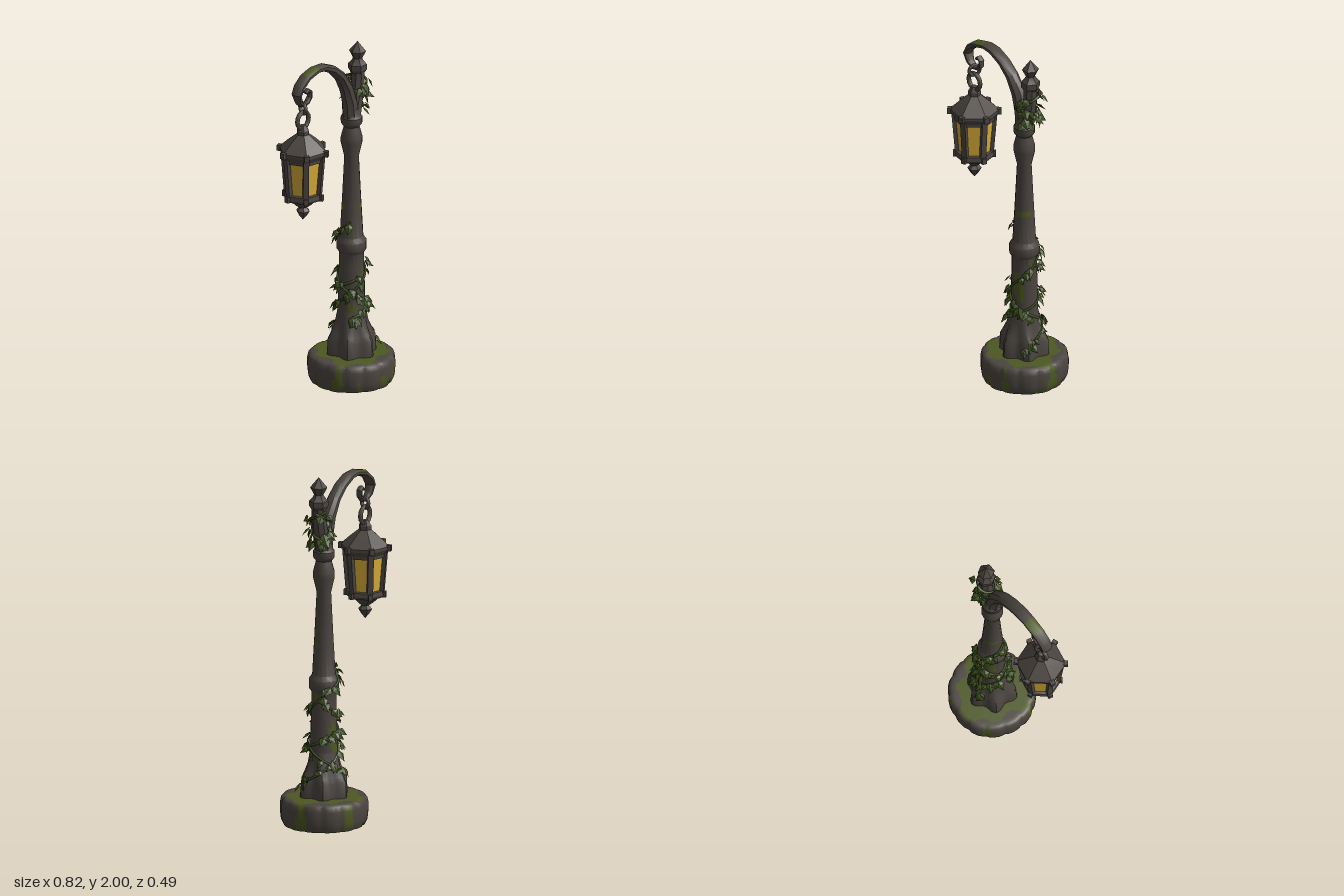
import * as THREE from 'three';
import { mergeGeometries, toCreasedNormals } from 'three/addons/utils/BufferGeometryUtils.js';

const V2 = (p) => p.map(([r, y]) => new THREE.Vector2(r, y));
const mat = (name, color, side = THREE.FrontSide) => {
  const m = new THREE.MeshStandardMaterial({ color, side });
  m.name = name;
  return m;
};

export function createModel() {
  const iron = mat('weathered iron', 0x4b4540);
  const moss = mat('moss', 0x4c5822);
  const leafMat = mat('ivy leaf', 0x3f5120, THREE.DoubleSide);
  const glass = mat('amber glass', 0xd6ac38);

  const model = new THREE.Group();
  model.name = 'streetLamp';
  const POST_X = 0.165, LAMP_X = -0.263, HEX = Math.PI / 10;
  let seed = 7;
  const rnd = () => (seed = (seed * 16807) % 2147483647) / 2147483647;

  const add = (name, geo, material, x = 0, y = 0, z = 0, parent = model) => {
    const m = new THREE.Mesh(geo, material);
    m.name = name;
    m.position.set(x, y, z);
    parent.add(m);
    return m;
  };
  const lathe = (pts, sides, start = 0) => new THREE.LatheGeometry(V2(pts), sides, start);
  const crease = (g, a = 0.65) => toCreasedNormals(g, a);

  // Sort triangles into an iron group and a moss group by a rule on their centre
  const paint = (g, isMoss) => {
    const P = g.attributes.position, N = g.attributes.normal, sets = [[], []];
    for (let i = 0; i < P.count; i += 3) {
      const mid = (k) => (P['get' + k](i) + P['get' + k](i + 1) + P['get' + k](i + 2)) / 3;
      sets[isMoss(mid('X'), mid('Y'), mid('Z'), N.getY(i)) ? 1 : 0].push(i, i + 1, i + 2);
    }
    g.setIndex([...sets[0], ...sets[1]]);
    g.clearGroups();
    g.addGroup(0, sets[0].length, 0);
    g.addGroup(sets[0].length, sets[1].length, 1);
    return g;
  };

  // Sweep along a path in the xy plane; each row is [x, y, half thickness, half depth]
  const sweep = (rows, sides) => {
    const pos = [], idx = [];
    rows.forEach(([x, y, r, rz], i) => {
      const a = rows[Math.max(i - 1, 0)], b = rows[Math.min(i + 1, rows.length - 1)];
      const t = new THREE.Vector2(b[0] - a[0], b[1] - a[1]).normalize();
      for (let j = 0; j < sides; j++) {
        const q = ((j + 0.5) / sides) * Math.PI * 2, c = Math.cos(q) * r;
        pos.push(x - t.y * c, y + t.x * c, Math.sin(q) * rz);
        if (i < rows.length - 1) {
          const k = i * sides, n = (j + 1) % sides;
          idx.push(k + j, k + n, k + sides + j, k + n, k + sides + n, k + sides + j);
        }
      }
    });
    for (let j = 1; j < sides - 1; j++) {
      const e = (rows.length - 1) * sides;
      idx.push(0, j + 1, j, e, e + j, e + j + 1);
    }
    const g = new THREE.BufferGeometry();
    g.setAttribute('position', new THREE.Float32BufferAttribute(pos, 3));
    g.setIndex(idx);
    g.computeVertexNormals();
    return crease(g);
  };

  // Scale the radius of a lathe by a rule on angle and height
  const shapeRadius = (g, rule) => {
    const p = g.attributes.position;
    for (let i = 0; i < p.count; i++) {
      const k = rule(Math.atan2(p.getZ(i), p.getX(i)), p.getY(i));
      p.setX(i, p.getX(i) * k);
      p.setZ(i, p.getZ(i) * k);
    }
    return crease(g);
  };

  // Round stone base with notched rim and mossy patches
  const base = shapeRadius(lathe([[0, 0], [0.08, 0], [0.15, 0], [0.19, 0], [0.228, 0], [0.24, 0.025], [0.244, 0.05],
    [0.246, 0.08], [0.246, 0.12], [0.24, 0.147], [0.228, 0.158], [0.215, 0.16], [0.2, 0.161], [0.185, 0.161],
    [0.165, 0.162], [0.1, 0.163], [0, 0.163]], 84),
  (a) => 1 - 0.03 * Math.pow(Math.abs(Math.cos(a * 7 + 0.4)), 10) + 0.008 * Math.sin(a * 5));
  add('base', paint(base, (x, y, z) => {
    const a = Math.atan2(z, x), r = Math.hypot(x, z);
    if (y > 0.152) return r < 0.2 + 0.022 * Math.sin(3 * a + 0.6) + 0.02 * Math.sin(7 * a + 1);
    if (y < 0.01) return Math.sin(6 * a) + 0.7 * Math.sin(11 * a + 25 * r) > -0.1;
    const n = Math.sin(5 * a + 1) + Math.sin(11 * a + 2);
    return y < 0.075 ? n > 0.75 : n > 1.25;
  }), [iron, moss], POST_X);

  // Flared foot with six buttresses
  add('foot', shapeRadius(lathe([[0.13, 0.155], [0.13, 0.17], [0.126, 0.25], [0.113, 0.28], [0.096, 0.33], [0.083, 0.39],
    [0.078, 0.42]], 36),
  (a, y) => 1 - 0.13 * Math.cos(6 * a) * THREE.MathUtils.clamp((0.4 - y) / 0.13, 0, 1)), iron, POST_X);

  // Tapering post with collars
  const profile = [[0.08, 0.38], [0.077, 0.44], [0.075, 0.5], [0.074, 0.56], [0.073, 0.62], [0.071, 0.68], [0.07, 0.76],
    [0.084, 0.78], [0.084, 0.83], [0.066, 0.855], [0.057, 1.02], [0.055, 1.05], [0.041, 1.33], [0.061, 1.415],
    [0.061, 1.445], [0.044, 1.51], [0.06, 1.53], [0.061, 1.565], [0.05, 1.58], [0.046, 1.62], [0, 1.62]];
  add('post', paint(crease(lathe(profile, 16)), (x, y, z) => {
    const a = Math.atan2(z, x);
    return (y < 0.74 && Math.sin(2 * a + 9 * y) + Math.sin(3 * a - 14 * y) > 0.95) || (y > 1.015 && y < 1.055 && Math.sin(2 * a) > 0);
  }), [iron, moss], POST_X);

  // Short upright spur and pointed finial
  add('spur', sweep([[0.168, 1.56, 0.05, 0.05], [0.195, 1.66, 0.045, 0.045], [0.216, 1.74, 0.038, 0.042],
    [0.219, 1.85, 0.037, 0.042]], 8), iron);
  add('finial', crease(lathe([[0, 1.81], [0.04, 1.815], [0.053, 1.835], [0.053, 1.865], [0.034, 1.885], [0.026, 1.9],
    [0.048, 1.942], [0, 2]], 6, 0.5), 0.3), iron, 0.218);

  // Curved arm, mossy on top, ending in a curled hook
  add('arm', paint(sweep([[0.16, 1.56, 0.052, 0.048], [0.147, 1.66, 0.045, 0.044], [0.115, 1.755, 0.04, 0.041],
    [0.06, 1.84, 0.03, 0.039], [-0.01, 1.9, 0.025, 0.038], [-0.09, 1.937, 0.022, 0.038], [-0.155, 1.943, 0.02, 0.037],
    [-0.24, 1.922, 0.02, 0.037], [-0.295, 1.88, 0.02, 0.036], [-0.317, 1.84, 0.019, 0.034], [-0.3, 1.79, 0.017, 0.025],
    [-0.27, 1.768, 0.015, 0.02]], 8),
  (x, y, z, ny) => x > -0.24 && x < -0.15 && ny > 0.3), [iron, moss]);
  add('hook', sweep([[-0.29, 1.782, 0.016, 0.022], [-0.262, 1.765, 0.014, 0.019], [-0.228, 1.77, 0.013, 0.018],
    [-0.204, 1.795, 0.013, 0.018], [-0.203, 1.827, 0.013, 0.018], [-0.222, 1.84, 0.013, 0.018], [-0.24, 1.828, 0.01, 0.015]], 8), iron);

  // Hanging rings
  const link = add('chainLink', new THREE.TorusGeometry(0.031, 0.011, 6, 14), iron, LAMP_X, 1.745);
  link.rotation.y = 1.2;
  add('hangingRing', new THREE.TorusGeometry(0.049, 0.013, 6, 14), iron, LAMP_X, 1.675);

  // Six-sided lantern
  const lantern = new THREE.Group();
  lantern.name = 'lantern';
  lantern.position.x = LAMP_X;
  model.add(lantern);
  const hex = (name, pts, material) => add(name, crease(lathe(pts, 6, HEX), 0.3), material, 0, 0, 0, lantern);
  hex('lanternRoof', [[0, 1.455], [0.12, 1.455], [0.14, 1.485], [0.14, 1.502], [0.085, 1.552], [0.036, 1.592], [0.036, 1.615],
    [0.018, 1.645], [0, 1.648]], iron);
  hex('lanternGlass', [[0.092, 1.22], [0.113, 1.47]], glass);
  hex('lanternBottom', [[0, 1.08], [0.024, 1.108], [0.04, 1.135], [0.022, 1.155], [0.05, 1.175], [0.075, 1.2], [0.108, 1.208],
    [0.116, 1.222], [0.112, 1.245], [0.09, 1.25], [0, 1.25]], iron);
  hex('lanternTopRail', [[0.11, 1.44], [0.12, 1.44], [0.122, 1.475]], iron);
  for (let i = 0; i < 6; i++) {
    const side = new THREE.Group();
    side.name = 'lanternCorner';
    side.rotation.y = HEX + (i * Math.PI) / 3;
    lantern.add(side);
    add('cornerBar', new THREE.BoxGeometry(0.032, 0.25, 0.022), iron, 0, 1.35, 0.106, side).rotation.x = 0.083;
    add('roofKnob', new THREE.BoxGeometry(0.028, 0.034, 0.03), iron, 0, 1.493, 0.136, side);
    add('bottomKnob', new THREE.BoxGeometry(0.026, 0.034, 0.024), iron, 0, 1.225, 0.108, side);
  }

  // Ivy: winding stems with folded, drooping leaves
  const radiusAt = (y) => {
    if (y <= 0.38) return 0.08 + (0.38 - y) * 0.32;
    const i = profile.findIndex((p) => p[1] >= y), [r0, y0] = profile[i - 1], [r1, y1] = profile[i];
    return r0 + ((r1 - r0) * (y - y0)) / (y1 - y0);
  };
  const leaf = (s) => {
    const b = [0, 0.1, 0], l = [-0.42, -0.3, 0], r = [0.42, -0.3, 0], t = [0, -1, 0.05], m = [0, -0.35, 0.16];
    const g = new THREE.BufferGeometry();
    g.setAttribute('position', new THREE.Float32BufferAttribute([b, l, m, l, t, m, t, r, m, r, b, m].flat(), 3));
    return g.scale(s, s, s);
  };
  const ivy = (name, y0, y1, turns, phase, count, centre, radius) => {
    const at = (t, out) => {
      const y = y0 + (y1 - y0) * t, a = phase + turns * Math.PI * 2 * t, r = radius(y) + out;
      return new THREE.Vector3(centre(y) + Math.sin(a) * r, y, Math.cos(a) * r);
    };
    const pts = Array.from({ length: 28 }, (_, i) => at(i / 27, 0.004));
    add(name + 'Stem', new THREE.TubeGeometry(new THREE.CatmullRomCurve3(pts), 60, 0.007, 5), leafMat);
    const leaves = [];
    for (let i = 0; i < count; i++) {
      const p = at(Math.pow(rnd(), 1.25), 0.008 + rnd() * 0.008);
      const face = Math.atan2(p.x - centre(p.y), p.z) + (rnd() - 0.5) * 1.2;
      leaves.push(leaf(0.038 + rnd() * 0.03).rotateZ((rnd() - 0.5) * 1.5).rotateX(-0.15 - rnd() * 0.6)
        .rotateY(face).translate(p.x, p.y + (rnd() - 0.3) * 0.04, p.z));
    }
    const g = mergeGeometries(leaves);
    g.computeVertexNormals();
    add(name + 'Leaves', g, leafMat);
  };
  const low = () => POST_X;
  const high = (y) => THREE.MathUtils.lerp(0.178, 0.218, THREE.MathUtils.clamp((y - 1.6) / 0.14, 0, 1));
  ivy('lowerIvyA', 0.24, 0.96, 1.7, 0.9, 42, low, radiusAt);
  ivy('lowerIvyB', 0.3, 0.72, -1.3, 3.6, 34, low, radiusAt);
  ivy('lowerIvyC', 0.38, 0.62, 1.1, 5.2, 18, low, radiusAt);
  ivy('upperIvyA', 1.62, 1.81, 1.4, 0.6, 26, high, () => 0.046);
  ivy('upperIvyB', 1.64, 1.8, -1.1, 2.4, 18, high, () => 0.046);

  return model;
}
